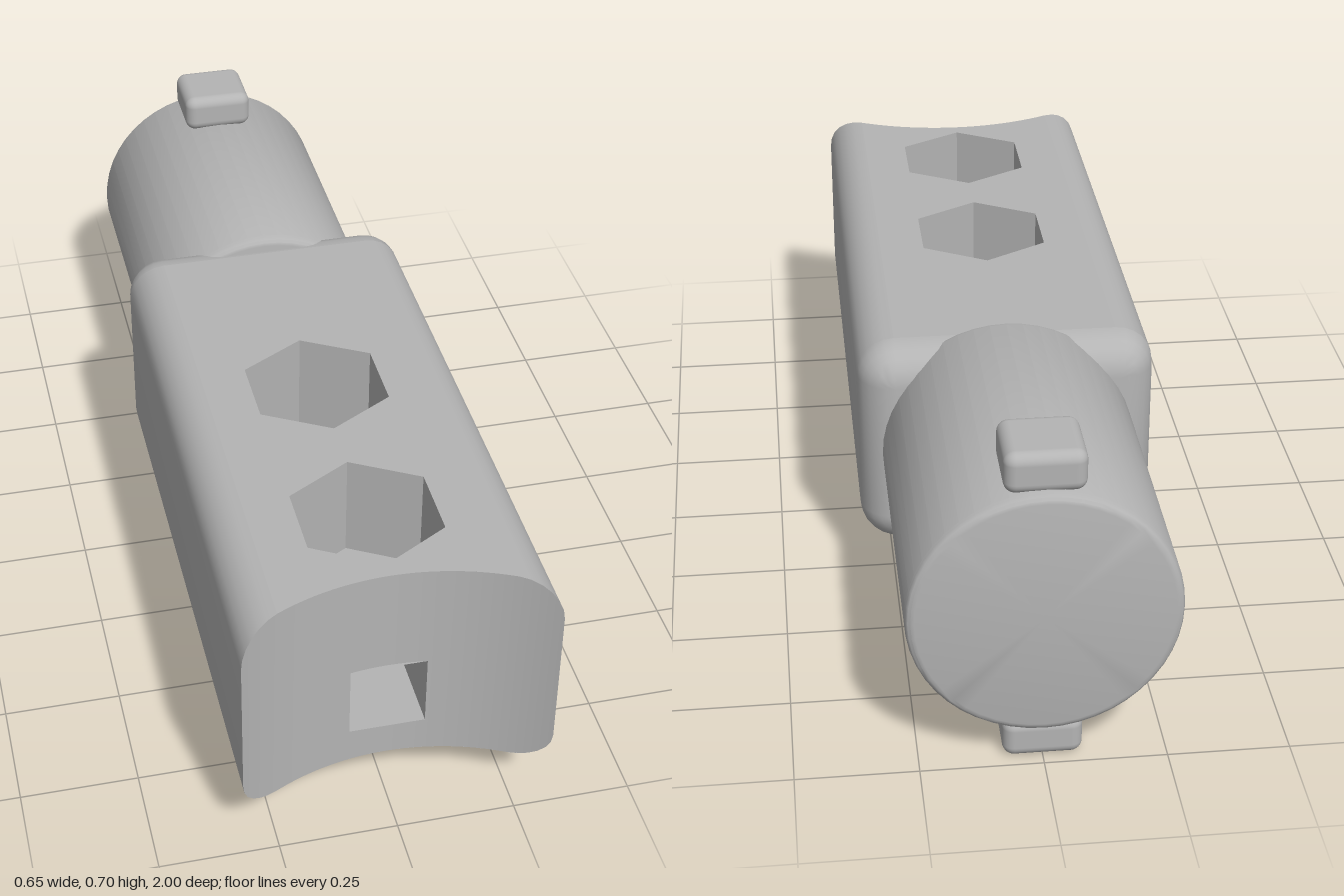
import * as THREE from 'three';
import { toCreasedNormals } from 'three/addons/utils/BufferGeometryUtils.js';
import { RoundedBoxGeometry } from 'three/addons/geometries/RoundedBoxGeometry.js';

const HW = 0.323, Y0 = 0.11, Y1 = 0.595, R = 0.082;   // body half width, bottom, top, edge radius
const MID = (Y0 + Y1) / 2, BACK = -0.355, SEG = 6;
const FLAT = HW - R, LOW = 0.27;                      // half widths of the top and bottom panels
const HOLE = { x: 0.08, y0: 0.19, y1: 0.355 };        // square socket in the front

// concave front end
const frontZ = x => 0.89 + 0.535 - Math.sqrt(0.535 ** 2 - x * x);
// height lost to the rounded edge at x
const drop = x => {
  const d = Math.min(R, Math.max(0, Math.abs(x) - FLAT));
  return R - Math.sqrt(R * R - d * d);
};

// surface from rows of points
function loft(rows) {
  const n = rows[0].length, index = [];
  for (let i = 0; i < rows.length - 1; i++)
    for (let j = 0; j < n - 1; j++) {
      const a = i * n + j, b = a + n;
      index.push(a, b, a + 1, b, b + 1, a + 1);
    }
  const g = new THREE.BufferGeometry();
  g.setAttribute('position', new THREE.Float32BufferAttribute(rows.flat(2), 3));
  g.setIndex(index);
  return toCreasedNormals(g, 0.6);
}

// rounded rectangle in x and y, inset by d, counterclockwise from the right bottom corner
function section(d) {
  const r = R - d, pts = [];
  [[1, -1], [1, 1], [-1, 1], [-1, -1]].forEach(([sx, sy], k) => {
    for (let i = 0; i <= SEG; i++) {
      const a = (k - 1 + i / SEG) * Math.PI / 2;
      pts.push([sx * FLAT + r * Math.cos(a), MID + sy * (MID - Y0 - R) + r * Math.sin(a)]);
    }
  });
  pts.push(pts[0]);
  return pts;
}

// flat panel with holes and a curved front edge, facing up (s = 1) or down (s = -1)
function panel(half, s, holes) {
  const pts = [[-half, BACK + R], [half, BACK + R]];
  for (let i = 0; i <= 24; i++) {
    const x = half * (1 - i / 12);
    pts.push([x, frontZ(x)]);
  }
  const shape = new THREE.Shape(pts.map(([x, z]) => new THREE.Vector2(x, -s * z)));
  for (const h of holes) {
    const hole = [];
    for (let i = 0; i < h.n; i++) {
      const a = i / h.n * Math.PI * 2;
      hole.push(new THREE.Vector2(h.x + h.r * Math.sin(a), -s * (h.z + h.r * Math.cos(a))));
    }
    shape.holes.push(new THREE.Path(hole));
  }
  const g = new THREE.ShapeGeometry(shape);
  const p = g.attributes.position;
  for (let i = 0; i < p.count; i++) {
    const x = p.getX(i), z = -s * p.getY(i);
    p.setXYZ(i, x, s > 0 ? Y1 - drop(x) : Y0 + drop(x), z);
  }
  g.computeVertexNormals();
  return g;
}

export function createModel() {
  const model = new THREE.Group();
  model.name = 'connector';
  const grey = new THREE.MeshStandardMaterial({ color: 0xb4b4b4, side: THREE.DoubleSide });
  grey.name = 'light grey';
  const add = (name, geometry, parent = model) => {
    const mesh = new THREE.Mesh(geometry, grey);
    mesh.name = name;
    parent.add(mesh);
    return mesh;
  };

  const body = new THREE.Group();
  body.name = 'body';
  model.add(body);

  // top and bottom panels with their holes
  const hexes = [0.25, 0.692].map(z => ({ x: 0, z, r: 0.163, n: 6 }));
  const rounds = [-0.2, 0.2].map(x => ({ x, z: 0.75, r: 0.066, n: 32 }));
  add('topPanel', panel(FLAT, 1, hexes), body);
  add('bottomPanel', panel(LOW, -1, rounds), body);

  // hole walls and floors
  const well = (name, h, y0, y1, floorY) => {
    const wall = new THREE.CylinderGeometry(h.r, h.r, y1 - y0, h.n, 1, true);
    add(name + 'Wall', toCreasedNormals(wall, 0.6), body).position.set(h.x, (y0 + y1) / 2, h.z);
    const floor = new THREE.CircleGeometry(h.r, h.n, Math.PI / 2);
    floor.rotateX(floorY === y0 ? -Math.PI / 2 : Math.PI / 2);
    add(name + 'Floor', floor, body).position.set(h.x, floorY, h.z);
  };
  hexes.forEach(h => well('hexWell', h, 0.36, Y1, 0.36));
  rounds.forEach(h => well('roundHole', h, Y0, 0.27, 0.27));

  // sides with their rounded long edges
  for (const s of [1, -1]) {
    const edge = section(0).slice(0, 2 * (SEG + 1)).filter(([x, y]) => y > MID || x > LOW);
    edge.unshift([LOW, Y0 + drop(LOW)]);
    const rows = [edge.map(([x, y]) => [s * x, y, BACK + R]), edge.map(([x, y]) => [s * x, y, frontZ(x)])];
    add(s > 0 ? 'leftSide' : 'rightSide', loft(s > 0 ? rows.reverse() : rows), body);
  }

  // rounded back end
  const backRows = [];
  for (let i = 0; i <= SEG; i++) {
    const a = i / SEG * Math.PI / 2;
    const d = Math.min(R * (1 - Math.cos(a)), R - 0.0005);
    backRows.push(section(d).map(([x, y]) => [x, y, BACK + R - R * Math.sin(a)]));
  }
  backRows.push(section(0).map(() => [0, MID, BACK]));
  add('backEnd', loft(backRows), body);

  // concave front around the square socket
  const xs = [];
  for (let i = 0; i <= 8; i++) xs.push(HOLE.x * i / 8);
  for (let i = 1; i <= 8; i++) xs.push(HOLE.x + (FLAT - HOLE.x) * i / 8);
  for (let i = 1; i <= SEG; i++) xs.push(FLAT + R * Math.sin(i / SEG * Math.PI / 2));
  const all = [...xs.slice(1).reverse().map(x => -x), ...xs];
  const strip = (name, cols, low, high) =>
    add(name, loft([high, low].map(f => cols.map(x => [x, f(x), frontZ(x)]))), body);
  const low = x => Y0 + drop(x), high = x => Y1 - drop(x);
  const inner = all.filter(x => Math.abs(x) <= HOLE.x);
  strip('frontLeft', all.filter(x => x >= HOLE.x), low, high);
  strip('frontRight', all.filter(x => x <= -HOLE.x), low, high);
  strip('frontAbove', inner, () => HOLE.y1, high);
  strip('frontBelow', inner, low, () => HOLE.y0);

  // socket walls and end
  const ring = [[-1, 0], [1, 0], [1, 1], [-1, 1], [-1, 0]]
    .map(([sx, t]) => [sx * HOLE.x, t ? HOLE.y1 : HOLE.y0]);
  const end = 0.4;
  add('socketWall', loft([
    ring.map(([x, y]) => [x, y, end]),
    ring.map(([x, y]) => [x, y, frontZ(x)]),
  ]), body);
  add('socketEnd', new THREE.PlaneGeometry(2 * HOLE.x, HOLE.y1 - HOLE.y0), body)
    .position.set(0, (HOLE.y0 + HOLE.y1) / 2, end);

  // round plug with softened rims
  const pr = 0.274, b = 0.018, len = 0.72;
  const profile = [new THREE.Vector2(0, 0)];
  for (let i = 0; i <= 4; i++) {
    const a = i / 4 * Math.PI / 2;
    profile.push(new THREE.Vector2(pr - b + b * Math.sin(a), b - b * Math.cos(a)));
  }
  for (let i = 0; i <= 4; i++) {
    const a = i / 4 * Math.PI / 2;
    profile.push(new THREE.Vector2(pr - b + b * Math.cos(a), len - b + b * Math.sin(a)));
  }
  profile.push(new THREE.Vector2(0, len));
  const plug = add('plug', toCreasedNormals(new THREE.LatheGeometry(profile, 48), 0.6));
  plug.rotation.x = Math.PI / 2;
  plug.position.set(0, MID + 0.001, -1);

  // locking pegs above and below the plug
  for (const [name, y] of [['topPeg', 0.661], ['bottomPeg', 0.045]])
    add(name, new RoundedBoxGeometry(0.162, 0.088, 0.16, 4, 0.024)).position.set(0, y, -0.9);

  return model;
}
